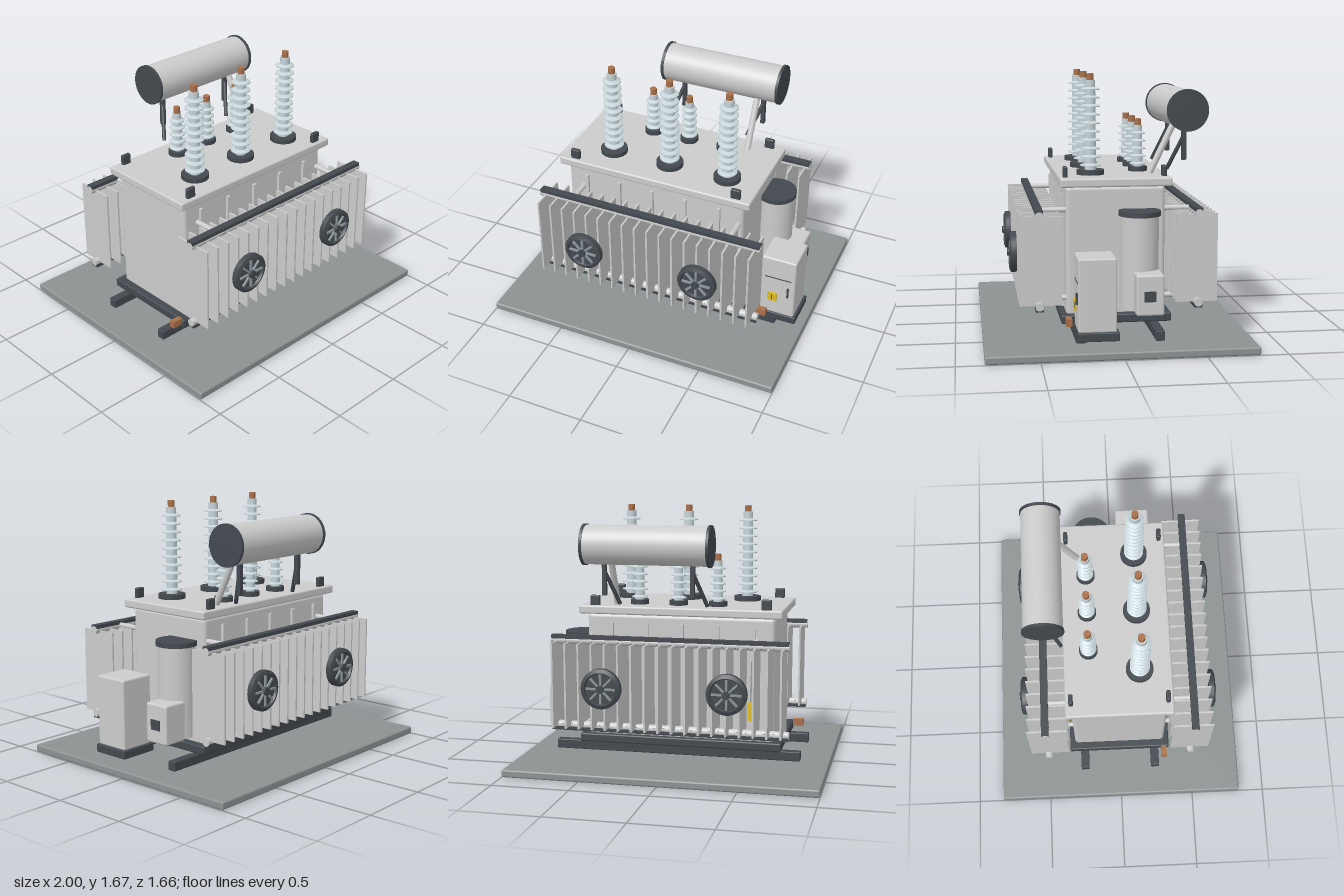
import * as THREE from 'three';
import { RoundedBoxGeometry } from 'three/addons/geometries/RoundedBoxGeometry.js';
import { toCreasedNormals } from 'three/addons/utils/BufferGeometryUtils.js';

const paint = (color) => new THREE.MeshStandardMaterial({ color });
const GREY = paint(0xcccccc);
const DARK = paint(0x43494f);
const CONCRETE = paint(0x8c9292);
const PORCELAIN = paint(0xc6d4d8);
const COPPER = paint(0xa8704a);
const YELLOW = paint(0xe0bc20);
const STEEL = paint(0x8b959a);

function add(parent, name, geometry, material, x = 0, y = 0, z = 0) {
  const mesh = new THREE.Mesh(geometry, material);
  mesh.name = name;
  mesh.position.set(x, y, z);
  parent.add(mesh);
  return mesh;
}

// Box given by its extents on each axis, with optional rounded edges
function box(parent, name, material, [x0, x1], [y0, y1], [z0, z1], r = 0) {
  const size = [x1 - x0, y1 - y0, z1 - z0];
  const geometry = r ? new RoundedBoxGeometry(...size, 3, r) : new THREE.BoxGeometry(...size);
  return add(parent, name, geometry, material, (x0 + x1) / 2, (y0 + y1) / 2, (z0 + z1) / 2);
}

// Round bar between two points
function rod(parent, name, material, a, b, radius, sides = 16) {
  const from = new THREE.Vector3(...a), to = new THREE.Vector3(...b);
  const dir = to.clone().sub(from);
  const mesh = add(parent, name, new THREE.CylinderGeometry(radius, radius, dir.length(), sides), material);
  mesh.position.copy(from).add(to).multiplyScalar(0.5);
  mesh.quaternion.setFromUnitVectors(new THREE.Vector3(0, 1, 0), dir.normalize());
  return mesh;
}

const lathe = (points, sides = 32) => toCreasedNormals(
  new THREE.LatheGeometry(points.map(([x, y]) => new THREE.Vector2(x, y)), sides), 0.6);

// Insulator with flange, stacked sheds and copper terminal
function bushing(x, z, { name, height, flange, core, shed, sheds, first, step }) {
  const g = new THREE.Group();
  g.name = name;
  g.position.set(x, 1.04, z);
  add(g, 'flange', new THREE.CylinderGeometry(flange, flange, 0.03, 32), DARK, 0, 0.015);
  add(g, 'core', new THREE.CylinderGeometry(core * 0.85, core, height - 0.02, 24), PORCELAIN, 0, height / 2 + 0.01);
  const shedShape = lathe([[core * 0.8, -0.007], [shed, -0.007], [shed, -0.001], [core * 0.8, 0.012]]);
  for (let i = 0; i < sheds; i++) {
    const s = add(g, 'shed', shedShape, PORCELAIN, 0, first + i * step);
    const k = 1 - 0.08 * i / sheds;
    s.scale.set(k, 1, k);
  }
  add(g, 'terminal', new THREE.CylinderGeometry(0.022, 0.022, 0.045, 20), COPPER, 0, height + 0.018);
  return g;
}

// Cooling fan, facing +z with its back at z = 0
function fan(x) {
  const g = new THREE.Group();
  g.name = 'coolingFan';
  g.position.set(x, 0.555, 0.61);
  const shell = lathe([[0, 0], [0.128, 0], [0.128, 0.035], [0.105, 0.045], [0.098, 0.028], [0, 0.028]], 40);
  shell.rotateX(Math.PI / 2).scale(1, 1, 1);
  add(g, 'fanShroud', shell, DARK);
  for (let i = 0; i < 4; i++) {
    const spoke = add(g, 'fanSpoke', new THREE.BoxGeometry(0.19, 0.013, 0.012), STEEL, 0, 0, 0.036);
    spoke.rotation.z = i * Math.PI / 4;
  }
  add(g, 'fanHub', new THREE.CylinderGeometry(0.026, 0.026, 0.028, 20), DARK, 0, 0, 0.042).rotation.x = Math.PI / 2;
  return g;
}

// Radiator bank on the +z side
function radiatorBank() {
  const g = new THREE.Group();
  g.name = 'radiatorBank';
  for (let i = 0; i < 18; i++) {
    const x = -0.73 + i * 1.46 / 17;
    box(g, 'radiatorFin', GREY, [x - 0.006, x + 0.006], [0.28, 0.83], [0.35, 0.61]);
  }
  for (const [y, y0, y1] of [[0.835, 0.825, 0.868], [0.28, 0.247, 0.29]]) {
    rod(g, 'headerPipe', GREY, [-0.768, y, 0.488], [0.768, y, 0.488], 0.026, 20);
    box(g, 'headerRail', DARK, [-0.765, 0.765], [y0, y1], [0.464, 0.512]);
    for (const x of [-0.54, 0.55])
      rod(g, 'feedPipe', GREY, [x, y + 0.005, 0.29], [x, y + 0.005, 0.488], 0.017);
  }
  for (const x of [-0.4, 0.4]) g.add(fan(x));
  // Tank stiffeners behind the fins
  for (let i = 0; i < 5; i++) {
    const x = -0.515 + i * 0.2325;
    box(g, 'tankStiffener', GREY, [x - 0.011, x + 0.011], [0.2, 0.93], [0.3, 0.328]);
  }
  return g;
}

export function createModel() {
  const model = new THREE.Group();
  model.name = 'powerTransformer';

  // Foundation and skids
  box(model, 'foundationSlab', CONCRETE, [-1, 1], [0, 0.05], [-0.83, 0.83], 0.012);
  for (const z of [-0.245, 0.245])
    box(model, 'skid', DARK, [-0.815, 0.815], [0.058, 0.12], [z - 0.028, z + 0.028], 0.006);
  box(model, 'tankBasePlate', DARK, [-0.7, 0.63], [0.132, 0.188], [-0.345, 0.345], 0.01);
  for (const x of [-0.735, 0.73])
    box(model, 'earthingBlock', COPPER, [x - 0.035, x + 0.035], [0.153, 0.2], [0.292, 0.328]);

  // Tank and lid
  box(model, 'tank', GREY, [-0.65, 0.58], [0.17, 0.985], [-0.31, 0.31], 0.025);
  box(model, 'lid', GREY, [-0.7, 0.63], [0.985, 1.04], [-0.347, 0.347], 0.012);
  for (const x of [-0.595, 0.525])
    for (const z of [-0.31, 0.31])
      box(model, 'liftingLug', DARK, [x - 0.032, x + 0.032], [1.035, 1.105], [z - 0.014, z + 0.014], 0.008);
  box(model, 'ratingPlate', DARK, [-0.28, -0.03], [0.5, 0.635], [0.31, 0.336]);
  box(model, 'warningSign', YELLOW, [0.283, 0.347], [0.447, 0.51], [0.305, 0.332]);

  // Radiators, front and back
  const front = radiatorBank();
  const back = radiatorBank();
  back.scale.z = -1;
  model.add(front, back);

  // Bushings
  for (const x of [-0.4, 0, 0.4])
    model.add(bushing(x, 0.138, { name: 'highVoltageBushing', height: 0.59, flange: 0.088, core: 0.037, shed: 0.064, sheds: 10, first: 0.06, step: 0.053 }));
  for (const x of [-0.26, 0, 0.26])
    model.add(bushing(x, -0.185, { name: 'lowVoltageBushing', height: 0.295, flange: 0.06, core: 0.032, shed: 0.052, sheds: 5, first: 0.05, step: 0.049 }));

  // Conservator with its supports and pipe
  const cy = 1.445, cz = -0.455;
  rod(model, 'conservator', GREY, [-0.26, cy, cz], [0.54, cy, cz], 0.125, 40);
  for (const x of [-0.262, 0.542])
    rod(model, 'conservatorEnd', DARK, [x - 0.009, cy, cz], [x + 0.009, cy, cz], 0.132, 40);
  for (const x of [-0.15, 0.42]) {
    box(model, 'conservatorLeg', DARK, [x - 0.013, x + 0.013], [1.125, 1.34], [cz - 0.015, cz + 0.015]);
    rod(model, 'conservatorStrut', DARK, [x, 1.28, cz], [x - 0.075, 1.06, -0.36], 0.013, 12);
  }
  rod(model, 'conservatorPipe', GREY, [0.395, 1.03, -0.235], [0.395, 1.36, -0.395], 0.021);

  // Cylindrical vessel and gauge box on the left end
  add(model, 'vessel', new THREE.CylinderGeometry(0.118, 0.118, 0.58, 40), GREY, 0.65, 0.525, -0.138);
  add(model, 'vesselCap', new THREE.CylinderGeometry(0.13, 0.13, 0.03, 40), DARK, 0.65, 0.828, -0.138);
  box(model, 'gaugeBox', GREY, [0.7, 0.872], [0.23, 0.482], [-0.258, -0.087], 0.014);
  box(model, 'gaugeWindow', DARK, [0.865, 0.878], [0.318, 0.382], [-0.207, -0.133]);

  // Control cabinet
  box(model, 'cabinetPlinth', DARK, [0.695, 0.955], [0.105, 0.158], [0.025, 0.278], 0.006);
  box(model, 'cabinet', GREY, [0.705, 0.94], [0.155, 0.605], [0.04, 0.272], 0.012);
  box(model, 'doorSeam', DARK, [0.735, 0.912], [0.449, 0.455], [0.268, 0.275]);
  box(model, 'doorHandle', DARK, [0.889, 0.9], [0.32, 0.392], [0.268, 0.284]);
  box(model, 'cabinetSign', YELLOW, [0.757, 0.822], [0.265, 0.328], [0.268, 0.282]);
  box(model, 'signMark', DARK, [0.786, 0.793], [0.278, 0.315], [0.278, 0.284]);

  // Thermometer with its slanted capillary on the rear wall
  box(model, 'thermometer', YELLOW, [-0.528, -0.494], [0.34, 0.455], [-0.4, -0.335]);
  rod(model, 'capillary', STEEL, [-0.51, 0.8, -0.305], [-0.51, 0.45, -0.37], 0.008, 8);

  return model;
}
